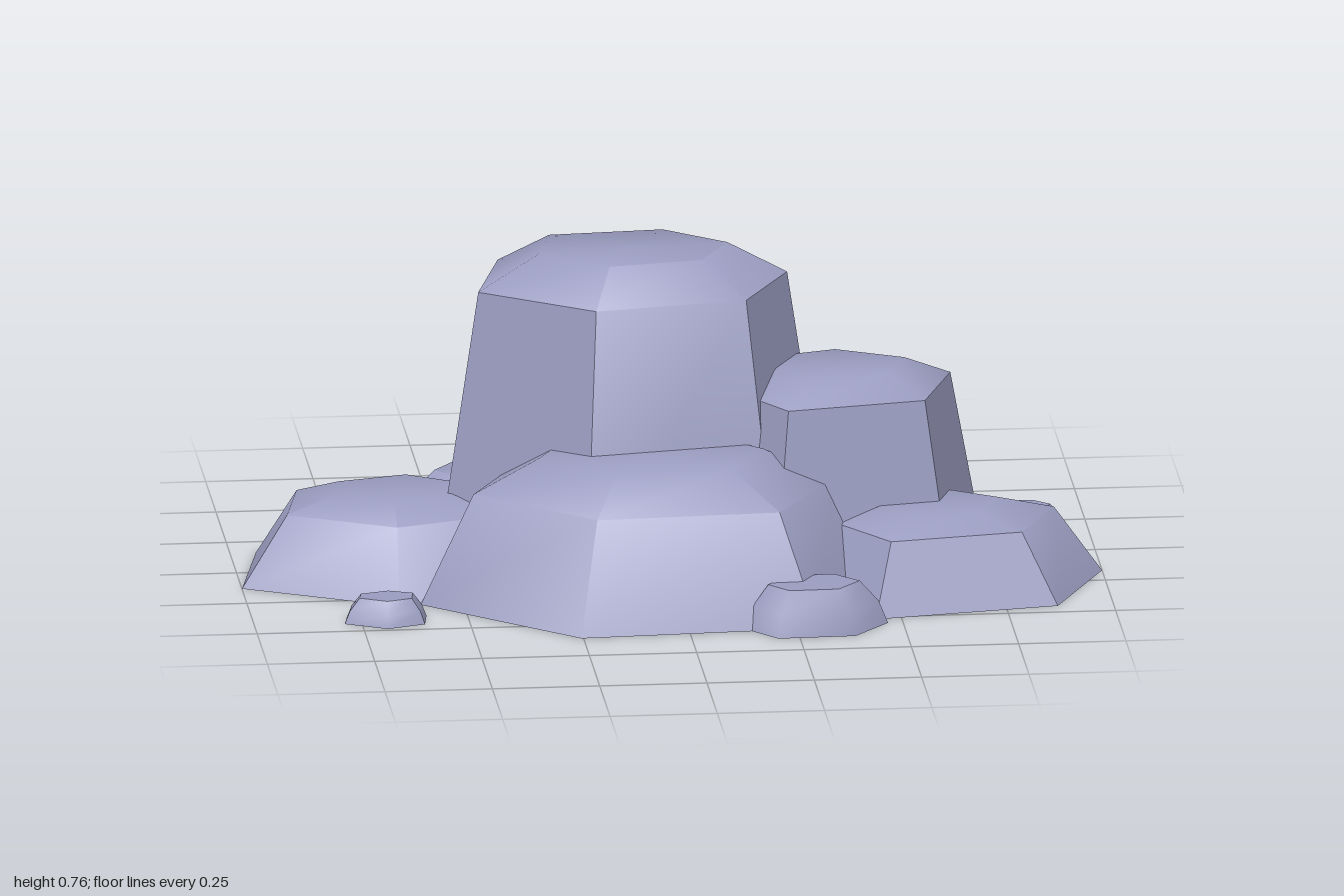
import * as THREE from 'three';
import { toCreasedNormals } from 'three/addons/utils/BufferGeometryUtils.js';

// One rock: a hexagonal base outline drawn in towards its centre at the shoulder and the top.
// Outline points [x, z] run left, front, right, back.
function rockGeometry({ centre: [cx, cz], outline, height, shoulder: [ss, sy], top }, crease) {
  const n = outline.length;
  const positions = [];
  const index = [];
  for (const [scale, y] of [[1, 0], [ss, sy], [top, height]]) {
    for (const [x, z] of outline) {
      positions.push(cx + (x - cx) * scale, y, cz + (z - cz) * scale);
    }
  }
  positions.push(cx, height, cz, cx, 0, cz);
  const topCentre = 3 * n;
  const baseCentre = topCentre + 1;
  for (let i = 0; i < n; i++) {
    const j = (i + 1) % n;
    for (const r of [0, n]) {
      index.push(r + i, r + j, r + n + j, r + i, r + n + j, r + n + i);
    }
    index.push(2 * n + i, 2 * n + j, topCentre, j, i, baseCentre);
  }
  const geometry = new THREE.BufferGeometry();
  geometry.setAttribute('position', new THREE.Float32BufferAttribute(positions, 3));
  geometry.setIndex(index);
  return toCreasedNormals(geometry, crease);
}

// Large overlapping boulders
const boulders = [
  {
    name: 'mainBoulder', centre: [-0.08, 0], height: 0.76, shoulder: [0.78, 0.68], top: 0.48,
    outline: [[-0.545, 0.075], [-0.215, 0.31], [0.24, 0.235], [0.39, -0.055], [0.1, -0.3], [-0.455, -0.26]],
  },
  {
    name: 'frontBoulder', centre: [-0.06, 0.25], height: 0.34, shoulder: [0.77, 0.26], top: 0.48,
    outline: [[-0.6, 0.3], [-0.255, 0.61], [0.3, 0.58], [0.49, 0.25], [0.15, -0.1], [-0.42, -0.05]],
  },
  {
    name: 'leftBoulder', centre: [0.39, 0.07], height: 0.485, shoulder: [0.77, 0.437], top: 0.46,
    outline: [[0.08, 0.12], [0.22, 0.34], [0.64, 0.265], [0.745, -0.03], [0.41, -0.205], [0.15, -0.13]],
  },
  {
    name: 'frontLeftBoulder', centre: [0.59, 0.26], height: 0.2, shoulder: [0.72, 0.165], top: 0.4,
    outline: [[0.29, 0.3], [0.44, 0.52], [0.87, 0.45], [1, 0.17], [0.74, 0], [0.42, 0.03]],
  },
  {
    name: 'rightBoulder', centre: [-0.64, 0.02], height: 0.2, shoulder: [0.7, 0.165], top: 0.39,
    outline: [[-1, 0.13], [-0.65, 0.31], [-0.3, 0.2], [-0.24, -0.08], [-0.53, -0.265], [-0.94, -0.16]],
  },
  {
    name: 'backBoulder', centre: [0.26, -0.25], height: 0.2, shoulder: [0.71, 0.165], top: 0.4,
    outline: [[-0.2, -0.25], [0, 0], [0.48, 0], [0.71, -0.23], [0.51, -0.5], [0.06, -0.515]],
  },
];

// Small loose stones around the foot
const pebbles = [
  {
    name: 'frontPebble', centre: [0.28, 0.56], height: 0.105, shoulder: [0.88, 0.055], top: 0.64,
    outline: [[0.13, 0.57], [0.2, 0.655], [0.38, 0.65], [0.465, 0.55], [0.38, 0.455], [0.2, 0.47]],
  },
  {
    name: 'backPebble', centre: [-0.38, -0.44], height: 0.105, shoulder: [0.88, 0.055], top: 0.62,
    outline: [[-0.57, -0.44], [-0.485, -0.335], [-0.28, -0.335], [-0.19, -0.44], [-0.28, -0.55], [-0.485, -0.55]],
  },
  {
    name: 'rearPebble', centre: [-0.08, -0.59], height: 0.06, shoulder: [0.88, 0.03], top: 0.65,
    outline: [[-0.165, -0.565], [-0.09, -0.52], [0.01, -0.56], [0.02, -0.62], [-0.07, -0.66], [-0.175, -0.625]],
  },
  {
    name: 'rightPebble', centre: [-0.69, 0.425], height: 0.06, shoulder: [0.88, 0.03], top: 0.65,
    outline: [[-0.79, 0.44], [-0.695, 0.49], [-0.605, 0.46], [-0.595, 0.39], [-0.68, 0.355], [-0.78, 0.385]],
  },
  {
    name: 'leftPebble', centre: [0.845, -0.178], height: 0.06, shoulder: [0.88, 0.03], top: 0.65,
    outline: [[0.74, -0.17], [0.8, -0.12], [0.905, -0.115], [0.95, -0.18], [0.89, -0.238], [0.79, -0.235]],
  },
];

export function createModel() {
  const stone = new THREE.MeshStandardMaterial({ color: 0x9c9ec2 });
  stone.name = 'stone';
  const group = new THREE.Group();
  group.name = 'rockPile';
  const add = (rocks, crease) => {
    for (const rock of rocks) {
      const mesh = new THREE.Mesh(rockGeometry(rock, crease), stone);
      mesh.name = rock.name;
      group.add(mesh);
    }
  };
  add(boulders, 0.75);
  add(pebbles, 0.95);
  return group;
}
